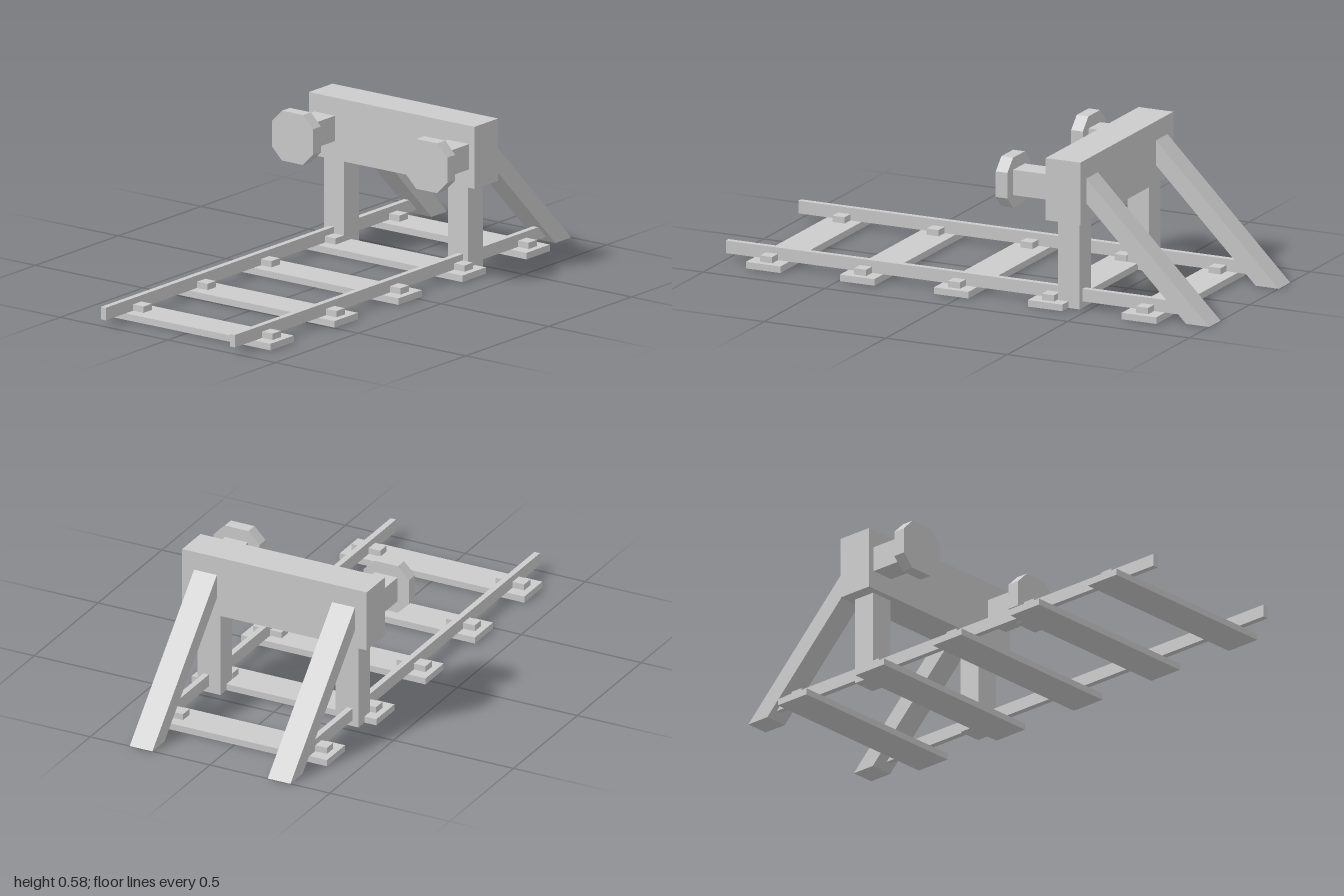
import * as THREE from 'three';

const material = new THREE.MeshStandardMaterial({ color: 0xcccccc, flatShading: true });

export function createModel() {
  const model = new THREE.Group();
  model.name = 'railwayBufferStop';

  const add = (name, geometry, x = 0, y = 0, z = 0) => {
    const mesh = new THREE.Mesh(geometry, material);
    mesh.name = name;
    mesh.position.set(x, y, z);
    model.add(mesh);
    return mesh;
  };
  // Box given by its lower and upper limits
  const box = (name, x0, x1, y0, y1, z0, z1) =>
    add(name, new THREE.BoxGeometry(x1 - x0, y1 - y0, z1 - z0),
      (x0 + x1) / 2, (y0 + y1) / 2, (z0 + z1) / 2);
  const extrude = (points, depth) => new THREE.ExtrudeGeometry(
    new THREE.Shape(points.map(([x, y]) => new THREE.Vector2(x, y))),
    { depth, bevelEnabled: false });

  // Sleepers with a rail chair at each end
  for (let i = 0; i < 5; i++) {
    const z = 0.81 - i * 0.3865;
    box('sleeper', -0.385, 0.385, 0, 0.025, z - 0.071, z + 0.071);
    for (const s of [-1, 1])
      box('railChair', s * 0.3 - 0.06, s * 0.3 + 0.06, 0.025, 0.049, z - 0.025, z + 0.025);
  }

  // Cross beam
  box('crossBeam', -0.385, 0.385, 0.34, 0.578, -0.495, -0.352);

  // Chamfered buffer face and side profile of the slanted brace (x stands for -z)
  const a = 0.0955, b = 0.049;
  const octagon = [[-b, -a], [b, -a], [a, -b], [a, b], [b, a], [-b, a], [-a, b], [-a, -b]];
  const braceProfile = [[0.485, 0.42], [0.905, 0], [1, 0], [0.485, 0.515]];

  for (const s of [-1, 1]) {
    box('rail', s * 0.3 - 0.0115, s * 0.3 + 0.0115, 0.025, 0.073, -0.88, 1);
    box('post', s * 0.288 - 0.0475, s * 0.288 + 0.0475, 0, 0.35, -0.467, -0.378);
    box('bufferArm', s * 0.312 - 0.048, s * 0.312 + 0.048, 0.411, 0.508, -0.36, -0.2);
    add('bufferPad', extrude(octagon, 0.048), s * 0.312, 0.459, -0.206);
    const brace = add('rearBrace', extrude(braceProfile, 0.095), s * 0.288 - 0.0475, 0, 0);
    brace.rotation.y = Math.PI / 2;
  }
  return model;
}
